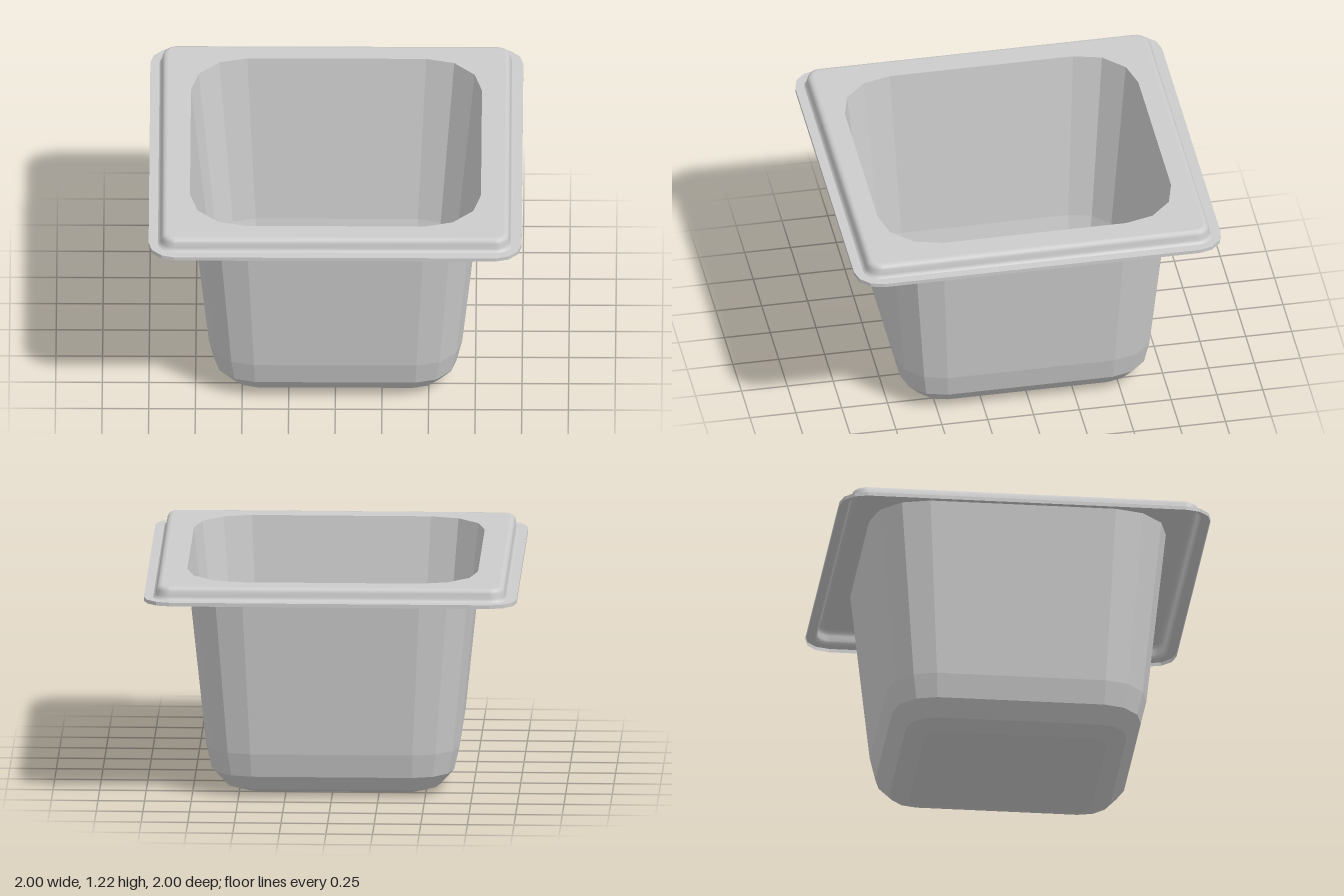
import * as THREE from 'three';

const flat = new THREE.MeshStandardMaterial({ color: 0xcccccc, flatShading: true, side: THREE.DoubleSide });
const smooth = new THREE.MeshStandardMaterial({ color: 0xcccccc, side: THREE.DoubleSide });

// Outline of a rounded rectangle with half sizes hx, hz, corner radius r and n segments per corner
function outline(hx, hz, r, n) {
  const points = [];
  for (let c = 0; c < 4; c++) {
    const sx = c === 0 || c === 3 ? 1 : -1;
    const sz = c < 2 ? 1 : -1;
    for (let i = 0; i <= n; i++) {
      const a = (c + i / n) * Math.PI / 2;
      points.push(new THREE.Vector2(sx * (hx - r) + r * Math.cos(a), sz * (hz - r) + r * Math.sin(a)));
    }
  }
  return points;
}

// Skin through rounded rectangles [y, hx, hz, r], listed so that the outside faces out
function loft(sections, n) {
  const pos = [], index = [];
  const count = 4 * (n + 1);
  sections.forEach(([y, hx, hz, r], i) => {
    for (const p of outline(hx, hz, r, n)) pos.push(p.x, y, p.y);
    if (i === 0) return;
    for (let j = 0; j < count; j++) {
      const k = (j + 1) % count;
      const a = (i - 1) * count + j, b = (i - 1) * count + k;
      const c = i * count + j, d = i * count + k;
      index.push(a, c, b, b, c, d);
    }
  });
  const g = new THREE.BufferGeometry();
  g.setAttribute('position', new THREE.Float32BufferAttribute(pos, 3));
  g.setIndex(index);
  g.computeVertexNormals();
  return g;
}

// Level sheet at height y, with an optional hole
function sheet(y, outer, inner) {
  const shape = new THREE.Shape(outer);
  if (inner) shape.holes.push(new THREE.Path(inner));
  return new THREE.ShapeGeometry(shape).rotateX(-Math.PI / 2).translate(0, y, 0);
}

export function createModel() {
  const group = new THREE.Group();
  const add = (name, geometry, material = flat) => {
    const mesh = new THREE.Mesh(geometry, material);
    mesh.name = name;
    group.add(mesh);
  };

  // Tapered basin of thin sheet with a rounded foot
  const basin = [
    [0, 0.47, 0.49, 0.07],
    [0.035, 0.575, 0.595, 0.16],
    [0.12, 0.65, 0.67, 0.22],
    [0.25, 0.68, 0.70, 0.245],
    [1.22, 0.78, 0.80, 0.30],
  ];
  add('basinWalls', loft(basin, 3));
  add('basinFloor', sheet(0, outline(0.47, 0.49, 0.07, 3)).scale(1, 1, 1));

  // Raised deck around the opening
  add('rimDeck', sheet(1.22, outline(0.905, 0.905, 0.05, 6), outline(0.78, 0.80, 0.30, 3)));

  // Rounded step from the flange up to the deck
  const step = [
    [1.15, 0.95, 0.95, 0.09],
    [1.157, 0.941, 0.941, 0.082],
    [1.17, 0.936, 0.936, 0.08],
    [1.195, 0.934, 0.934, 0.078],
    [1.21, 0.928, 0.928, 0.072],
    [1.218, 0.917, 0.917, 0.06],
    [1.22, 0.905, 0.905, 0.05],
  ];
  add('rimStep', loft(step, 6), smooth);

  // Outer flange and its short turned-down lip
  add('flange', sheet(1.15, outline(1, 1, 0.14, 3), outline(0.95, 0.95, 0.09, 6)));
  add('flangeLip', loft([[1.13, 1, 1, 0.14], [1.15, 1, 1, 0.14]], 3));

  return group;
}
